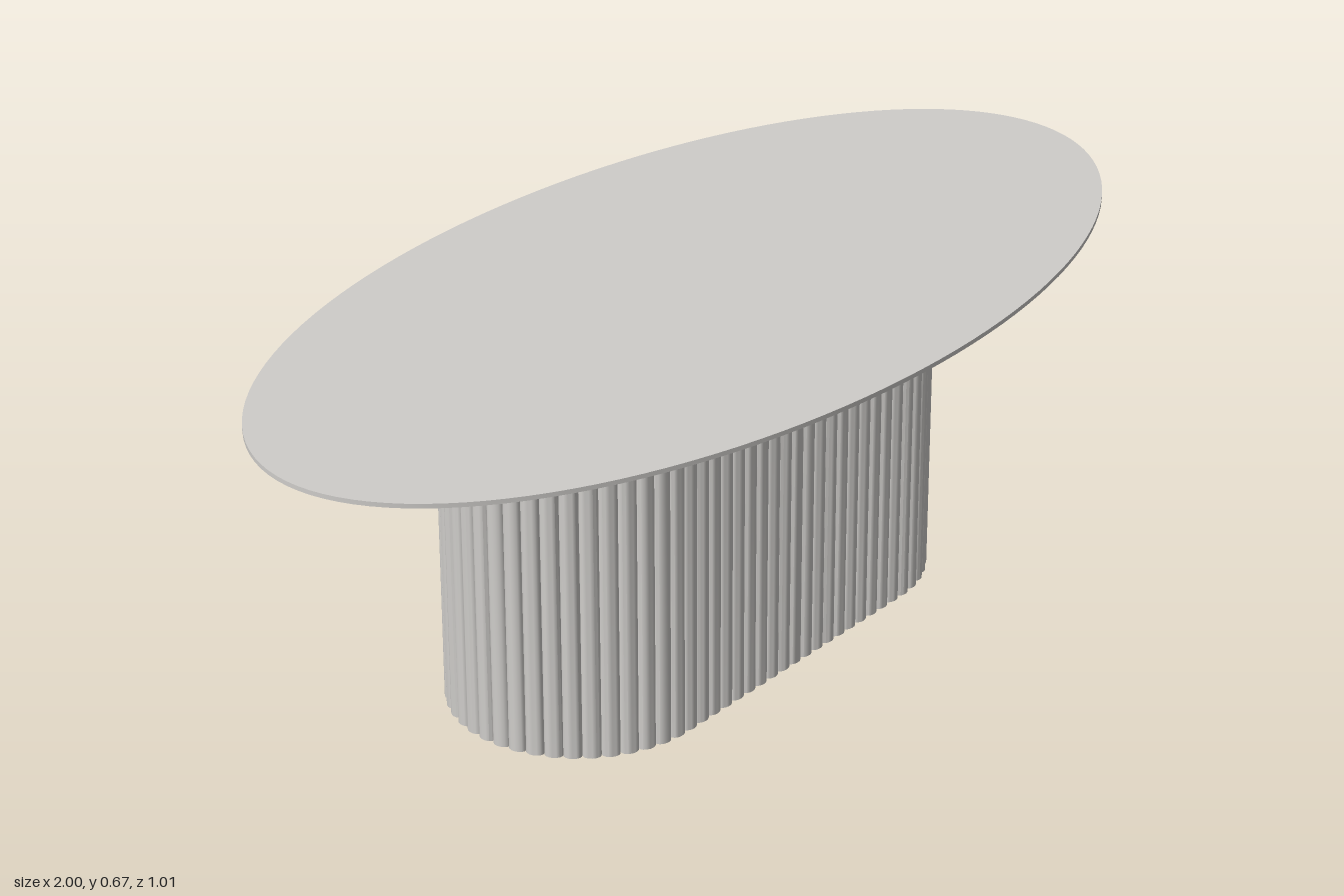
import * as THREE from 'three';
import { toCreasedNormals } from 'three/addons/utils/BufferGeometryUtils.js';

const TOP_Y = 0.67, UNDER_Y = 0.627;

// Stadium outline point and outward normal at distance s (counter-clockwise)
function stadium(s, half, radius) {
  const straight = 2 * half, arc = Math.PI * radius;
  const side = s % (2 * (straight + arc));
  const flip = side >= straight + arc ? -1 : 1;
  const d = flip < 0 ? side - straight - arc : side;
  if (d < straight) return { x: flip * (d - half), y: -flip * radius, nx: 0, ny: -flip };
  const a = (d - straight) / radius - Math.PI / 2;
  const nx = flip * Math.cos(a), ny = flip * Math.sin(a);
  return { x: flip * half + radius * nx, y: radius * ny, nx, ny };
}

// Pedestal outline made of convex reeds set side by side
function reededShape(half, radius, count, depth, steps) {
  const pitch = (4 * half + 2 * Math.PI * radius) / count;
  const points = [];
  for (let i = 0; i < count; i++) {
    for (let j = 0; j < steps; j++) {
      const t = (Math.PI * j) / steps;
      const p = stadium((i + (1 - Math.cos(t)) / 2) * pitch, half, radius);
      const h = depth * Math.sin(t);
      points.push(new THREE.Vector2(p.x + p.nx * h, p.y + p.ny * h));
    }
  }
  return new THREE.Shape(points);
}

// Oval top: a lathe whose z is narrowed so the bevel keeps an even width
function ovalTop() {
  const profile = [[0, UNDER_Y], [0.92, UNDER_Y], [1, 0.662], [1, TOP_Y], [0, TOP_Y]];
  const geometry = new THREE.LatheGeometry(profile.map(([r, y]) => new THREE.Vector2(r, y)), 128);
  const pos = geometry.attributes.position;
  for (let i = 0; i < pos.count; i++) {
    const r = Math.hypot(pos.getX(i), pos.getZ(i));
    if (r > 0.5) pos.setZ(i, pos.getZ(i) * (r - 0.495) / r);
  }
  return toCreasedNormals(geometry, 0.35);
}

export function createModel() {
  const stone = new THREE.MeshStandardMaterial({ color: 0xcfcdca });
  stone.name = 'pale stone';
  const group = new THREE.Group();
  group.name = 'ovalTable';

  const top = new THREE.Mesh(ovalTop(), stone);
  top.name = 'tableTop';

  // Reeded pedestal, standing slightly off centre under the top
  const reeds = new THREE.ExtrudeGeometry(reededShape(0.313, 0.228, 82, 0.012, 8), {
    depth: UNDER_Y, bevelEnabled: false,
  });
  reeds.rotateX(-Math.PI / 2);
  const pedestal = new THREE.Mesh(toCreasedNormals(reeds, 0.7), stone);
  pedestal.name = 'reededPedestal';
  pedestal.position.set(-0.007, 0, -0.014);

  group.add(top, pedestal);
  return group;
}
